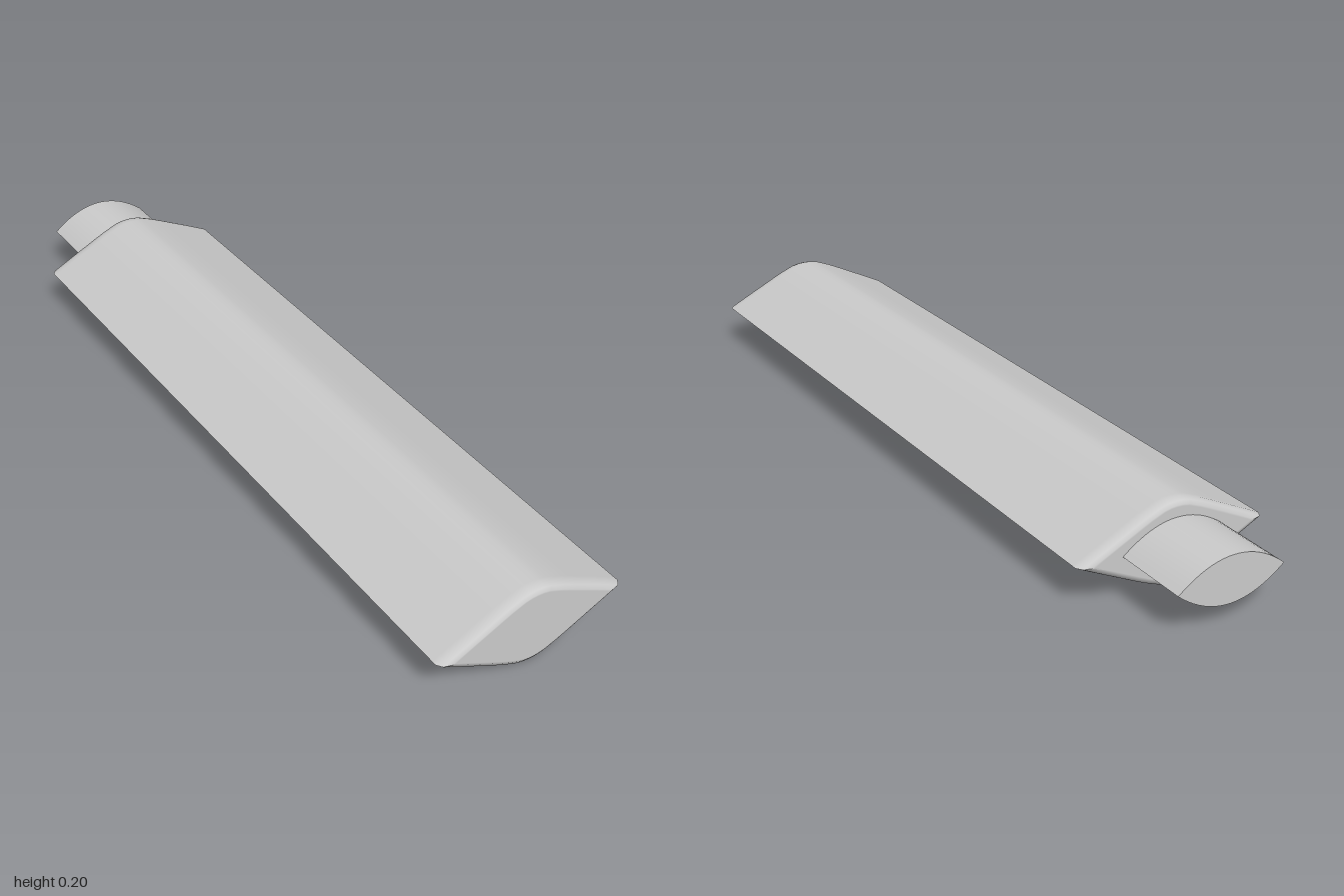
import * as THREE from 'three';

// Lofts the upper half of a lens section through rings of [z, scaleX, scaleY].
// A ring with scaleY 0 closes an end; a repeated ring makes a hard crease.
function halfLoft(section, rings) {
  const n = section.length, pos = [], index = [];
  for (const [z, sx, sy] of rings)
    for (const [x, y] of section) pos.push(x * sx, y * sy, z);
  for (let i = 0; i < rings.length - 1; i++)
    for (let j = 0; j < n - 1; j++) {
      const a = i * n + j, b = a + 1, c = a + n, d = c + 1;
      index.push(a, b, c, b, d, c);
    }
  const geo = new THREE.BufferGeometry();
  geo.setAttribute('position', new THREE.Float32BufferAttribute(pos, 3));
  geo.setIndex(index);
  geo.computeVertexNormals();
  return geo;
}

// Two identical halves meet along sharp side edges
function lensBar(name, section, rings, y, material) {
  const bar = new THREE.Group();
  bar.name = name;
  const geo = halfLoft(section, rings);
  ['upper', 'lower'].forEach((side, i) => {
    const half = new THREE.Mesh(geo, material);
    half.name = `${side}${name[0].toUpperCase()}${name.slice(1)}`;
    half.rotation.z = i * Math.PI;
    bar.add(half);
  });
  bar.position.y = y;
  return bar;
}

export function createModel() {
  const model = new THREE.Group();
  model.name = 'lensBarWithTenon';
  const material = new THREE.MeshStandardMaterial({ color: 0xcccccc });

  // Body: straight flanks, rounded crown, softened end rims
  const flank = [[0.24, 0], [0.2, 0.02], [0.14, 0.049], [0.105, 0.066], [0.075, 0.08], [0.037, 0.095], [0.018, 0.099]];
  const bodySection = [...flank, [0, 0.1], ...flank.map(([x, y]) => [-x, y]).reverse()];
  const rim = [[0, 0.88, 0], [0, 0.84, 0.84], [0, 0.88, 0.88], [0.005, 0.96, 0.96], [0.018, 1, 1], [0.03, 1, 1]];
  const bodyRings = [
    ...rim.map(([d, sx, sy]) => [-0.815 + d, sx, sy]),
    ...rim.map(([d, sx, sy]) => [1 - d, sx, sy]).reverse(),
  ];
  model.add(lensBar('body', bodySection, bodyRings, 0.1, material));

  // Tenon: smaller lens with a crisp flat end
  const steps = 20, tenonSection = [];
  for (let i = 0; i <= steps; i++) {
    const t = 1 - (2 * i) / steps;
    tenonSection.push([0.135 * t, 0.056 * (1 - t * t)]);
  }
  const tenonRings = [[-1, 1, 0], [-1, 1, 1], [-1, 1, 1], [-0.78, 1, 1]];
  model.add(lensBar('tenon', tenonSection, tenonRings, 0.105, material));

  return model;
}
